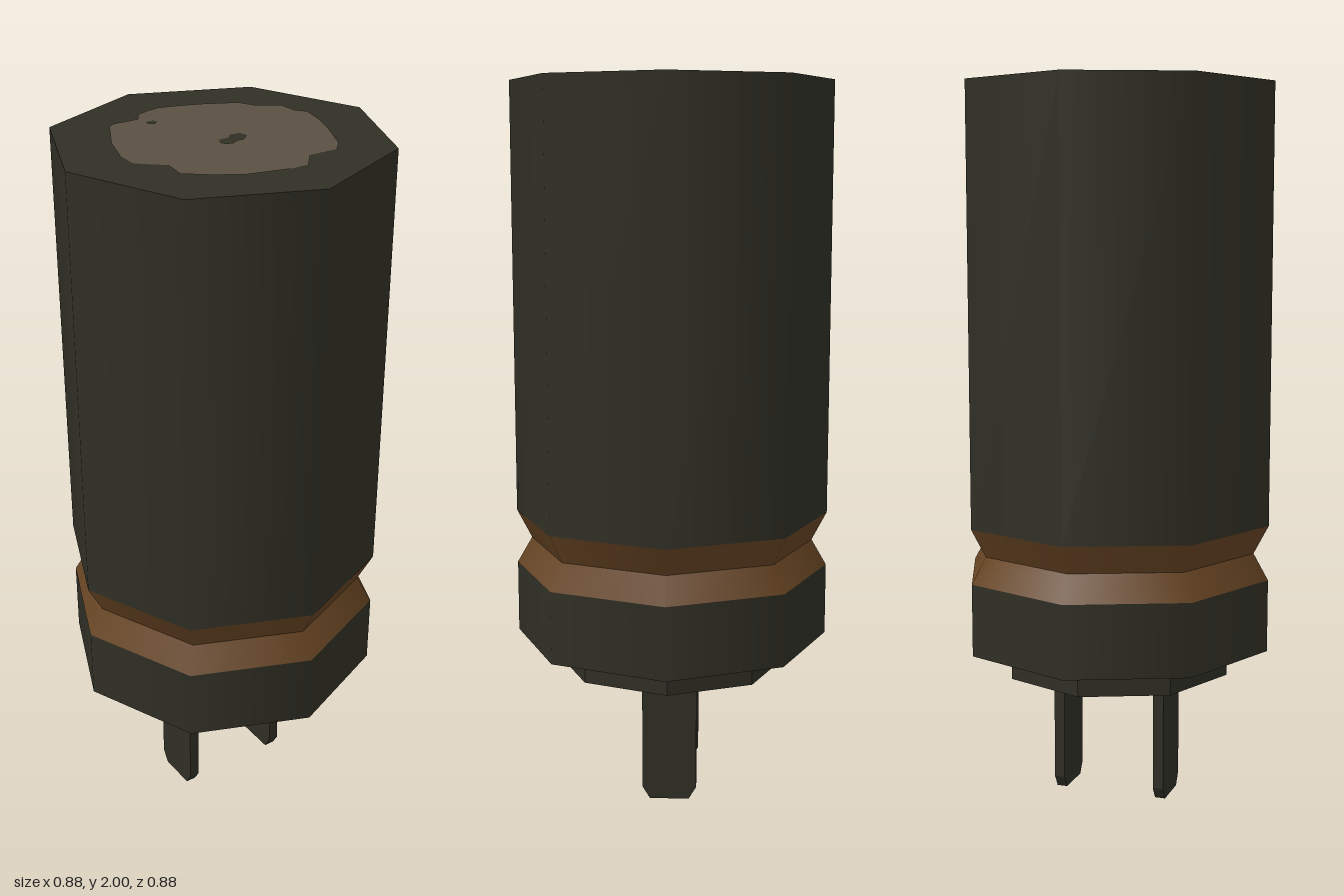
import * as THREE from 'three';

const material = (name, color, extra = {}) => {
  const m = new THREE.MeshStandardMaterial({ color, ...extra });
  m.name = name;
  return m;
};

export function createModel() {
  const group = new THREE.Group();
  const dark = material('dark casing', 0x2f2f25);
  const copper = material('copper', 0x654322);
  const worn = material('worn metal', 0x5a5042);

  const add = (name, geometry, mat) => {
    const mesh = new THREE.Mesh(geometry, mat);
    mesh.name = name;
    group.add(mesh);
    return mesh;
  };
  // Eight-sided section between two heights, smooth round its side
  const section = (name, y0, y1, r0, r1, mat, open = false) => {
    const g = new THREE.CylinderGeometry(r1, r0, y1 - y0, 8, 1, open);
    return add(name, g.translate(0, (y0 + y1) / 2, 0), mat);
  };

  // Casing and pinched groove
  section('mainBody', 0.8, 1.998, 0.442, 0.442, dark);
  section('grooveUpper', 0.72, 0.8, 0.4, 0.442, copper, true);
  section('grooveLower', 0.647, 0.72, 0.442, 0.4, copper, true);
  section('lowerBand', 0.445, 0.647, 0.442, 0.442, dark);

  // Faceted base
  const base = new THREE.CylinderGeometry(0.326, 0.326, 0.085, 8).toNonIndexed();
  base.computeVertexNormals();
  add('base', base.translate(0, 0.4075, 0), dark);

  // Worn patch on the end cap, with two chips left in it
  const points = (list) => list.map(([x, z]) => new THREE.Vector2(x, -z));
  const patch = new THREE.Shape(points([
    [0, -0.29], [0.04, -0.28], [0.11, -0.255], [0.2, -0.21], [0.22, -0.17],
    [0.28, -0.125], [0.283, -0.075], [0.304, -0.045], [0.29, 0.02], [0.265, 0.09],
    [0.215, 0.2], [0.18, 0.237], [0.1, 0.235], [0.055, 0.288], [0.01, 0.288],
    [-0.105, 0.26], [-0.17, 0.22], [-0.23, 0.17], [-0.22, 0.105], [-0.285, 0.045],
    [-0.283, -0.01], [-0.25, -0.11], [-0.185, -0.23], [-0.165, -0.24], [-0.095, -0.237],
    [-0.075, -0.27], [-0.04, -0.283],
  ]));
  patch.holes.push(
    new THREE.Path(points([[-0.09, -0.205], [-0.07, -0.205], [-0.067, -0.193], [-0.078, -0.183], [-0.092, -0.192]])),
    new THREE.Path(points([[-0.025, 0.035], [-0.015, 0.018], [0.015, 0.016], [0.03, 0], [0.055, 0.002],
      [0.06, 0.025], [0.04, 0.045], [0.018, 0.045], [0, 0.056], [-0.02, 0.05]])));
  const cap = add('capWear', new THREE.ShapeGeometry(patch), worn);
  cap.rotation.x = -Math.PI / 2;
  cap.position.y = 2;

  // Worn mark lying on the front right facet of the base
  const mark = new THREE.Shape([
    [-0.124, 0.04], [-0.124, 0], [-0.09, -0.01], [-0.06, -0.005], [0.05, -0.005], [0.07, 0.01], [0.075, 0.04],
  ].map(([x, y]) => new THREE.Vector2(x, y)));
  const wear = add('baseWear', new THREE.ShapeGeometry(mark), worn);
  const facet = 0.326 * Math.cos(Math.PI / 8) + 0.002;
  wear.rotation.y = -Math.PI / 8;
  wear.position.set(-facet * Math.sin(Math.PI / 8), 0.404, facet * Math.cos(Math.PI / 8));

  // Flat contact pins with chamfered tips
  const outline = new THREE.Shape([
    [-0.055, 0], [0.055, 0], [0.076, 0.035], [0.076, 0.37], [-0.076, 0.37], [-0.076, 0.035],
  ].map(([x, y]) => new THREE.Vector2(x, y)));
  for (const side of [-1, 1]) {
    const pin = new THREE.ExtrudeGeometry(outline, { depth: 0.03, bevelEnabled: false });
    pin.translate(0, 0, -0.015).rotateY(Math.PI / 2);
    add(side > 0 ? 'leftPin' : 'rightPin', pin, dark).position.x = side * 0.149;
  }
  return group;
}
